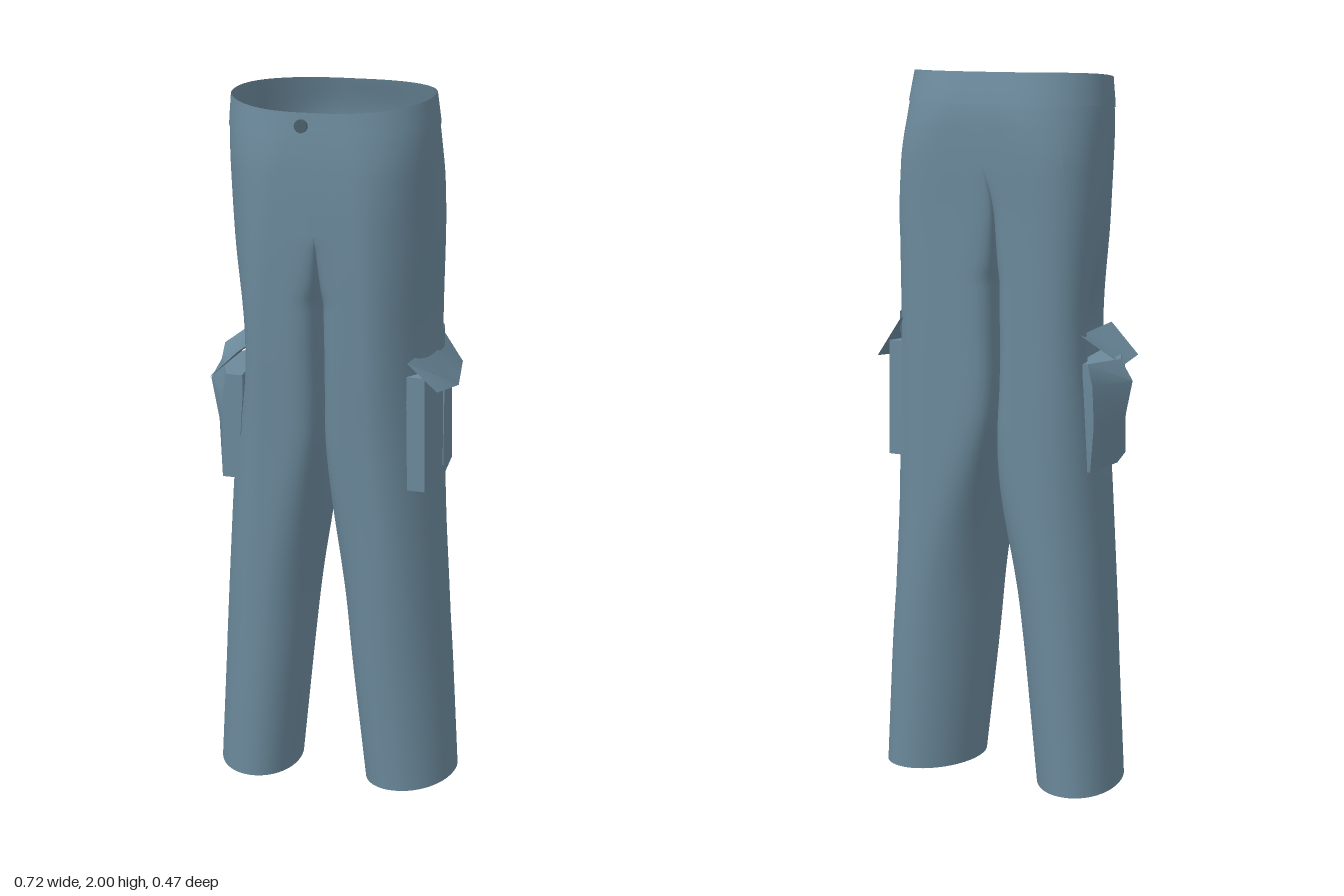
import * as THREE from 'three';
import { toCreasedNormals } from 'three/addons/utils/BufferGeometryUtils.js';

const { smoothstep, clamp, lerp } = THREE.MathUtils;

// Leg profile by height: y, outer x, inner x, centre x, front z, back z
const PROFILE = [
  [0, 0.352, 0.107, 0.232, 0.157, -0.2],
  [0.5, 0.323, 0.055, 0.19, 0.175, -0.21],
  [1.0, 0.294, 0.003, 0.15, 0.19, -0.217],
  [1.3, 0.281, 0.001, 0.14, 0.205, -0.22],
  [1.6, 0.286, 0, 0.12, 0.214, -0.223],
  [1.8, 0.289, 0, 0.09, 0.215, -0.228],
  [1.91, 0.288, 0, 0.06, 0.211, -0.223],
  [2.0, 0.281, 0, 0.035, 0.203, -0.199],
];

// Smooth interpolation of one profile column
function profileAt(y, col) {
  const last = PROFILE.length - 1;
  let i = 0;
  while (i < last - 1 && y > PROFILE[i + 1][0]) i++;
  const slope = (k) => {
    const a = PROFILE[Math.max(k - 1, 0)], b = PROFILE[Math.min(k + 1, last)];
    return (b[col] - a[col]) / (b[0] - a[0]);
  };
  const p = PROFILE[i], q = PROFILE[i + 1], h = q[0] - p[0], t = (y - p[0]) / h;
  const t2 = t * t, t3 = t2 * t;
  return (2 * t3 - 3 * t2 + 1) * p[col] + (t3 - 2 * t2 + t) * h * slope(i)
    + (3 * t2 - 2 * t3) * q[col] + (t3 - t2) * h * slope(i + 1);
}

// Point on one trouser half: angle 0 is the outer side, PI/2 the front, PI the inseam
function surface(side, angle, y, offset = 0) {
  const [xo, xiRaw, cx, zfRaw, zb] = [1, 2, 3, 4, 5].map((c) => profileAt(y, c));
  const xi = Math.max(xiRaw, 0);
  const zf = zfRaw - (side > 0 ? 0.035 * Math.max(0, 1 - y / 1.7) : 0);
  const zm = (zf + zb) / 2;
  const c = Math.cos(angle), s = Math.sin(angle);
  const front = s >= 0, reach = (front ? zf : zb) - zm;
  let x, z;
  if (c >= 0) {
    // the seat and the back of the thigh are fuller than the front
    const full = smoothstep(y, 0.7, 1.2) * (1 - smoothstep(y, 1.75, 1.95));
    const e = front ? 0.95 : 0.95 - 0.18 * full;
    x = cx + (xo - cx) * Math.pow(c, e);
    z = zm + reach * Math.pow(Math.abs(s), e);
  } else {
    // thighs press flat together; above the crotch the inner wall opens into the seams
    const e = lerp(1, 0.45, smoothstep(y, 0.5, 1.1));
    const seam = Math.sqrt(clamp((y - 1.45) / (front ? 0.17 : 0.28), 0, 1));
    x = cx - (cx - xi) * Math.pow(-c, e);
    z = zm + reach * (seam + (1 - seam) * Math.pow(Math.abs(s), e));
  }
  // legs turn slightly, so their fronts sit nearer the middle than their backs
  const low = 1 - smoothstep(y, 0.3, 1.0);
  x -= 0.13 * (z - zm) * Math.max(c, low) * (1 - smoothstep(y, 1.6, 1.95));
  // the right thigh is pressed in behind its pocket
  if (side < 0 && c > 0) {
    x -= 0.065 * c * Math.exp(-(((y - 1.28) / 0.2) ** 2)) * Math.exp(-(((z - 0.04) / 0.11) ** 2));
  }
  // centre seam runs askew, and the waist dips towards the front
  const skew = (z < 0 ? 0.24 : 0.07) * z * Math.max(0, 1 - x / 0.15)
    * smoothstep(y, 0.7, 1.2) * (1 - smoothstep(y, 1.6, 1.9));
  const dip = 0.038 * smoothstep(y, 1.75, 2) * ((z + 0.2) / 0.4) ** 2;
  const len = Math.hypot(x, z - zm) || 1;
  return [side * (x + offset * x / len) + skew + 0.005, y - dip, z + offset * (z - zm) / len];
}

// Sheet of (cols x rows) quads from a point function of u, v
function sheet(cols, rows, flip, point) {
  const pos = [], idx = [];
  for (let j = 0; j <= rows; j++) {
    for (let i = 0; i <= cols; i++) pos.push(...point(i / cols, j / rows));
  }
  for (let j = 0; j < rows; j++) {
    for (let i = 0; i < cols; i++) {
      const a = j * (cols + 1) + i, b = a + 1, d = a + cols + 1, e = d + 1;
      if (flip) idx.push(a, b, d, b, e, d);
      else idx.push(a, d, b, b, d, e);
    }
  }
  const g = new THREE.BufferGeometry();
  g.setAttribute('position', new THREE.Float32BufferAttribute(pos, 3));
  g.setIndex(idx);
  g.computeVertexNormals();
  return g;
}

// Closed bag lofted between rings of [x, z, lift] points; each ring starts on the leg side
function bag(rings) {
  const pos = [], idx = [], n = rings[0].pts.length;
  rings.forEach((r) => r.pts.forEach(([x, z, lift = 0]) => pos.push(x, r.y + lift, z)));
  for (let j = 0; j < rings.length - 1; j++) {
    for (let i = 0; i < n; i++) {
      const a = j * n + i, b = j * n + (i + 1) % n;
      idx.push(a, a + n, b, b, a + n, b + n);
    }
  }
  const top = (rings.length - 1) * n;
  for (let i = 1; i < n - 1; i++) {
    idx.push(0, i, i + 1, top, top + i + 1, top + i);
  }
  const g = new THREE.BufferGeometry();
  g.setAttribute('position', new THREE.Float32BufferAttribute(pos, 3));
  g.setIndex(idx);
  return toCreasedNormals(g, 0.5);
}

// Strip between an upper and a lower edge
function flap(upper, lower) {
  const g = sheet(upper.length - 1, 1, false, (u, v) => {
    const i = Math.round(u * (upper.length - 1));
    return v < 0.5 ? lower[i] : upper[i];
  });
  return toCreasedNormals(g, 0.3);
}

export function createModel() {
  const group = new THREE.Group();
  const cloth = new THREE.MeshStandardMaterial({ color: 0x6b899b, side: THREE.DoubleSide });
  cloth.name = 'blue grey cloth';
  const dark = new THREE.MeshStandardMaterial({ color: 0x4c5f6c });
  dark.name = 'dark button';
  const add = (name, geometry, material = cloth) => {
    const mesh = new THREE.Mesh(geometry, material);
    mesh.name = name;
    group.add(mesh);
    return mesh;
  };
  // Panel following the cloth between two angles and two heights
  const panel = (name, side, a0, a1, y0, y1, offset, cols = 16, rows = 8) =>
    add(name, sheet(cols, rows, side < 0, (u, v) =>
      surface(side, a0 + (a1 - a0) * u, y0 + (y1 - y0) * v, offset)));

  for (const side of [1, -1]) {
    const label = side > 0 ? 'left' : 'right';
    panel(label + 'TrouserHalf', side, -Math.PI, Math.PI, 0, 2, 0, 72, 100);
    panel(label + 'Waistband', side, -Math.PI, Math.PI, 1.915, 2, 0.003, 64, 4);
    panel(label + 'BackPocket', side, -1.9, -0.85, 1.58, 1.86, 0.004);
  }

  // Fly with a rounded lower end
  add('fly', sheet(6, 14, false, (u, v) => {
    const y = 1.63 + 0.28 * v;
    const width = 0.055 * Math.sqrt(Math.min(1, v / 0.3));
    const p = surface(1, Math.PI / 2, y);
    return [width * (1 - u), p[1], p[2] + 0.003];
  }));

  // Waist button
  const button = add('button', new THREE.CylinderGeometry(0.018, 0.018, 0.008, 20), dark);
  button.rotation.x = Math.PI / 2;
  button.position.set(-0.01, 1.93, 0.232);
  const shank = add('buttonShank', new THREE.CylinderGeometry(0.006, 0.006, 0.024, 10), dark);
  shank.rotation.x = Math.PI / 2;
  shank.position.set(-0.01, 1.93, 0.218);

  // Left cargo pocket: flat bag with a centre pleat under a lifted flap
  const leftRing = [[0.277, -0.04], [0.25, 0.11], [0.305, 0.11], [0.316, -0.04],
    [0.3, -0.19, 0.012], [0.25, -0.19, 0.012]];
  add('leftCargoPocket', bag([
    { y: 0.915, pts: leftRing },
    { y: 1.24, pts: leftRing.map(([x, z, lift]) => [x - 0.004, z, lift]) },
  ]));
  const pleat = add('leftPocketPleat', new THREE.BoxGeometry(0.006, 0.22, 0.006));
  pleat.position.set(0.314, 1.06, -0.04);
  add('leftPocketFlap', flap(
    [[0.258, 1.285, 0.135], [0.282, 1.3, -0.04], [0.25, 1.32, -0.205]],
    [[0.342, 1.21, 0.13], [0.357, 1.188, -0.04], [0.322, 1.21, -0.212]],
  ));
  panel('leftFlapSeam', 1, 0.65, -0.85, 1.275, 1.33, 0.004);

  // Right cargo pocket: sagging bag with its mouth pulled outwards
  add('rightCargoPocket', bag([
    { y: 0.92, pts: [[-0.275, 0.03], [-0.262, -0.13], [-0.297, -0.12], [-0.308, 0.03], [-0.27, 0.165], [-0.22, 0.165]] },
    { y: 1.05, pts: [[-0.255, 0.03], [-0.26, -0.13], [-0.307, -0.12], [-0.335, 0.02], [-0.27, 0.165], [-0.215, 0.165]] },
    { y: 1.16, pts: [[-0.235, 0.03], [-0.255, -0.13], [-0.302, -0.12], [-0.362, 0.01], [-0.268, 0.165], [-0.208, 0.165]] },
    { y: 1.22, pts: [[-0.23, 0.03], [-0.255, -0.13], [-0.287, -0.12], [-0.33, 0], [-0.255, 0.165], [-0.208, 0.165]] },
  ]));
  add('rightPocketFlap', flap(
    [[-0.275, 1.3, -0.14], [-0.222, 1.285, 0.02], [-0.215, 1.29, 0.182]],
    [[-0.363, 1.235, -0.105], [-0.33, 1.2, 0.02], [-0.306, 1.205, 0.167]],
  ));
  return group;
}
